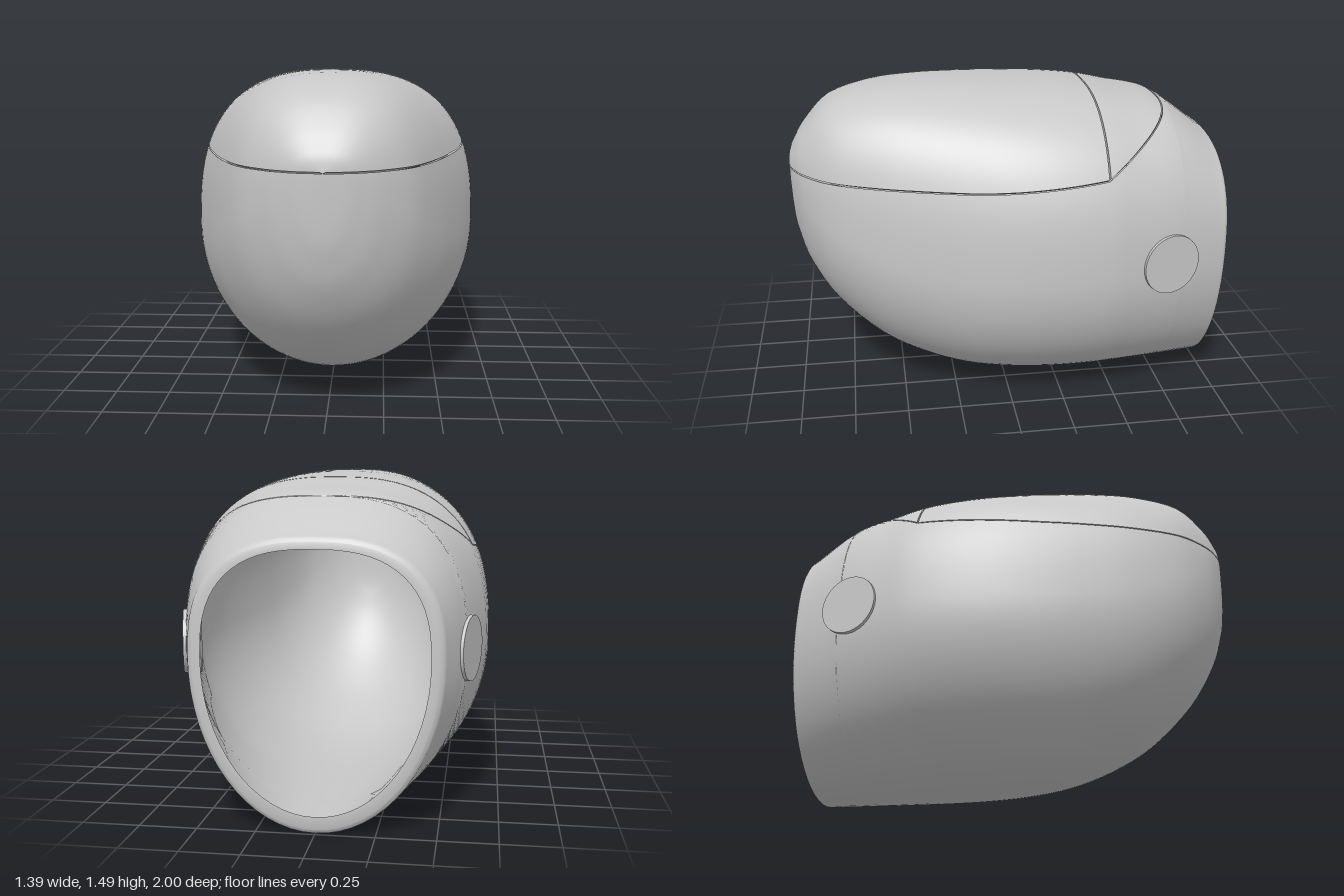
import * as THREE from 'three';
import { toCreasedNormals } from 'three/addons/utils/BufferGeometryUtils.js';

// Stations along the hull: z, bottom, top, half width, height of widest point
const ROWS = [
  [-1, 0.02, 1.2, 0.505, 0.72],
  [-0.985, 0, 1.222, 0.525, 0.72],
  [-0.95, 0, 1.245, 0.538, 0.72],
  [-0.76, 0, 1.375, 0.603, 0.72],
  [-0.56, 0, 1.42, 0.655, 0.72],
  [-0.4, 0, 1.452, 0.688, 0.72],
  [-0.2, 0.003, 1.472, 0.695, 0.72],
  [0, 0.015, 1.482, 0.675, 0.72],
  [0.2, 0.045, 1.488, 0.63, 0.72],
  [0.4, 0.11, 1.487, 0.567, 0.75],
  [0.6, 0.22, 1.47, 0.49, 0.8],
  [0.8, 0.41, 1.41, 0.38, 0.9],
  [0.92, 0.6, 1.29, 0.25, 1.0],
  [0.97, 0.75, 1.21, 0.155, 1.06],
  [0.99, 0.87, 1.165, 0.09, 1.09],
  [1, 1.1, 1.11, 0, 1.105],
];
const WEDGE = 3, LID = 5, NOSE = ROWS.length - 1;
const GAP = 0.006;

// Smooth interpolation between stations
function station(u) {
  const i = Math.min(Math.floor(u), NOSE - 1), f = u - i;
  const row = (k) => ROWS[Math.max(0, Math.min(NOSE, k))];
  return ROWS[0].map((_, c) => {
    const [p, q, r, s] = [row(i - 1)[c], row(i)[c], row(i + 1)[c], row(i + 2)[c]];
    const v = q + 0.5 * f * (r - p + f * (2 * p - 5 * q + 4 * r - s + f * (3 * (q - r) + s - p)));
    return c === 1 ? Math.max(0, v) : Math.min(v, Math.max(q, r) + 0.02);
  });
}

// Height of the parting line between the lower shell and the upper panels
function seamHeight(z) {
  if (z < -0.4) return 1.15 + (-0.4 - z) * 0.625;
  return 1.11 + 0.04 * Math.pow(Math.max(0, (0.2 - z) / 0.6), 1.5);
}

const POWER = 2.6; // squareness of the upper half of each section

function sectionPoint([z, bottom, top, width, mid], angle) {
  const c = Math.cos(angle), s = Math.sin(angle);
  if (s < 0) return [width * c, mid + (mid - bottom) * s, z];
  const x = Math.sign(c) * Math.pow(Math.abs(c), 2 / POWER);
  return [width * x, mid + (top - mid) * Math.pow(s, 2 / POWER), z];
}

// Thick-walled panel: each loop runs along the outside and back along the inside
function panel(stations, upper, scale, segments) {
  const positions = [], index = [];
  const n = 2 * (segments + 1);
  for (const u of stations) {
    const row = station(u);
    const [z, , top, , mid] = row;
    const y = seamHeight(z) + (upper ? GAP : 0);
    const h = Math.min(1, Math.max(0, (y - mid) / Math.max(top - mid, 1e-4)));
    const open = !upper && u <= WEDGE;
    const cut = open ? Math.PI / 2 : Math.asin(Math.pow(h, POWER / 2));
    const from = upper ? cut : Math.PI - cut;
    const to = upper ? Math.PI - cut : 2 * Math.PI + cut;
    const outer = [];
    for (let j = 0; j <= segments; j++) {
      outer.push(sectionPoint(row, from + (to - from) * j / segments));
    }
    const inner = outer.map(([x, py, pz]) =>
      [x * scale, 0.8 + (py - 0.8) * scale, pz > 0 ? pz * scale : pz]).reverse();
    for (const p of [...outer, ...inner]) positions.push(...p);
  }
  const last = stations.length - 1;
  for (let i = 0; i < last; i++) {
    for (let j = 0; j < n; j++) {
      const a = i * n + j, b = i * n + (j + 1) % n;
      index.push(a, b, b + n, a, b + n, a + n);
    }
  }
  // Close both ends between outer and inner skins
  for (let j = 0; j < segments; j++) {
    const a = j, b = j + 1, c = n - 2 - j, d = n - 1 - j;
    index.push(a, c, b, a, d, c);
    const e = last * n;
    index.push(e + a, e + b, e + c, e + a, e + c, e + d);
  }
  const geometry = new THREE.BufferGeometry();
  geometry.setAttribute('position', new THREE.Float32BufferAttribute(positions, 3));
  geometry.setIndex(index);
  return toCreasedNormals(geometry, 0.7);
}

function range(from, to, steps, ease = 1) {
  return Array.from({ length: steps + 1 }, (_, i) => from + (to - from) * Math.pow(i / steps, ease));
}

export function createModel() {
  const group = new THREE.Group();
  const grey = new THREE.MeshStandardMaterial({ color: 0xc8c8c8, side: THREE.DoubleSide });
  grey.name = 'light grey';

  const add = (name, geometry) => {
    const mesh = new THREE.Mesh(geometry, grey);
    mesh.name = name;
    group.add(mesh);
    return mesh;
  };

  // Lower shell with the open rear ring
  const shellStations = [
    ...range(0, WEDGE, 12),
    ...range(WEDGE, LID, 16, 2).slice(1),
    ...range(LID, NOSE, 40).slice(1),
  ];
  add('lowerShell', panel(shellStations, false, 0.93, 64));

  // Large front cover and the small panel behind it
  add('frontCover', panel(range(LID, NOSE, 40), true, 0.96, 40));
  add('rearTopPanel', panel(range(WEDGE + 0.02, LID - 0.04, 16, 2), true, 0.96, 40));

  // Round side plugs passing through the wall
  for (const side of [-1, 1]) {
    const disc = new THREE.CylinderGeometry(0.14, 0.14, 0.075, 40);
    disc.rotateZ(-side * Math.PI / 2);
    disc.rotateY(side * 0.27);
    const plug = add(side > 0 ? 'leftPlug' : 'rightPlug', disc);
    plug.position.set(side * 0.592, 0.742, -0.695);
  }
  return group;
}
